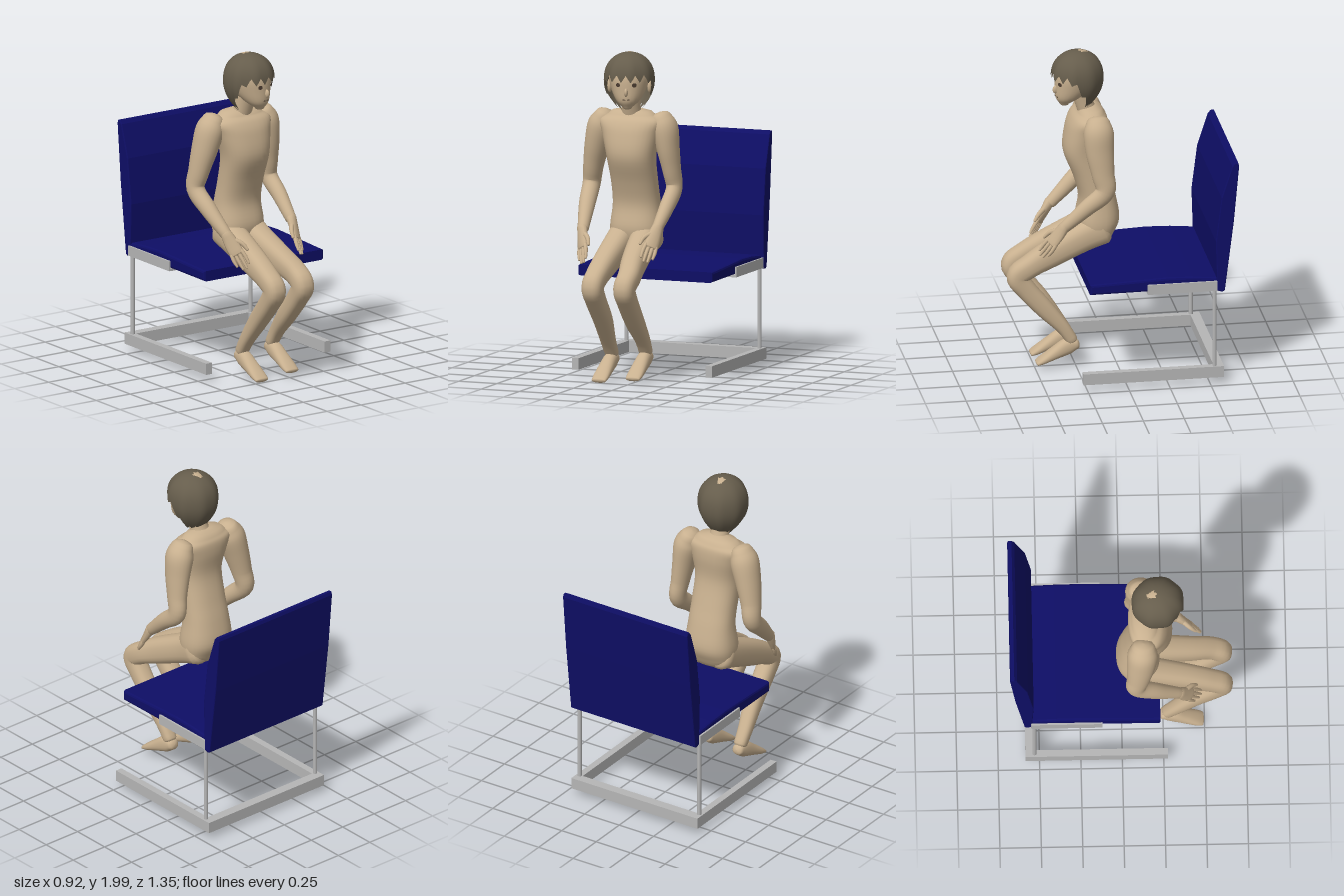
import * as THREE from 'three';
import { mergeVertices } from 'three/addons/utils/BufferGeometryUtils.js';

const mat = (name, color, extra = {}) => {
  const m = new THREE.MeshStandardMaterial({ color, ...extra });
  m.name = name;
  return m;
};
const V = (x, y, z) => new THREE.Vector3(x, y, z);

function add(parent, name, geometry, material, pos = [0, 0, 0]) {
  const mesh = new THREE.Mesh(geometry, material);
  mesh.name = name;
  mesh.position.set(...pos);
  parent.add(mesh);
  return mesh;
}

// Smooth closed skin through elliptical sections [x, y, z, halfWidth, halfDepth].
function loft(sections, { side = V(1, 0, 0), axis = null, power = 1, sides = 24, steps = 5 } = {}) {
  const path = new THREE.CatmullRomCurve3(sections.map(s => V(s[0], s[1], s[2])), false, 'catmullrom', 0.5);
  const size = new THREE.CatmullRomCurve3(sections.map(s => V(s[3], s[4], 0)), false, 'catmullrom', 0.5);
  const n = (sections.length - 1) * steps;
  const pos = [], idx = [];
  const ring = (c, r, t, k) => {
    const u = side.clone().addScaledVector(t, -side.dot(t)).normalize();
    const v = t.clone().cross(u);
    for (let j = 0; j < sides; j++) {
      const a = j / sides * Math.PI * 2, co = Math.cos(a), si = Math.sin(a);
      const p = c.clone()
        .addScaledVector(u, Math.sign(co) * Math.abs(co) ** power * r.x * k)
        .addScaledVector(v, Math.sign(si) * Math.abs(si) ** power * r.y * k);
      pos.push(p.x, p.y, p.z);
    }
  };
  const at = i => [path.getPoint(i / n), size.getPoint(i / n), axis ?? path.getTangent(i / n)];
  // rounded ends extend beyond the first and last sections
  const cap = (i, sign, angles) => {
    const [c, r, t] = at(i);
    for (const a of angles) {
      ring(c.clone().addScaledVector(t, sign * Math.sin(a) * Math.min(r.x, r.y) * 0.5), r, t, Math.max(Math.cos(a), 0.001));
    }
  };
  cap(0, -1, [1.57, 1.15, 0.6]);
  for (let i = 0; i <= n; i++) ring(...at(i), 1);
  cap(n, 1, [0.6, 1.15, 1.57]);
  const rows = pos.length / 3 / sides;
  for (let i = 0; i < rows - 1; i++) for (let j = 0; j < sides; j++) {
    const a = i * sides + j, b = i * sides + (j + 1) % sides;
    idx.push(a, b, a + sides, b, b + sides, a + sides);
  }
  const g = new THREE.BufferGeometry();
  g.setAttribute('position', new THREE.Float32BufferAttribute(pos, 3));
  g.setIndex(idx);
  g.computeVertexNormals();
  return g;
}

// Side profile of [z, y] points extruded across x.
function sideExtrude(points, x0, x1, bevel) {
  const shape = new THREE.Shape(points.map(([z, y]) => new THREE.Vector2(-z, y)));
  const g = new THREE.ExtrudeGeometry(shape, {
    depth: x1 - x0 - 2 * bevel, bevelEnabled: true, bevelSize: bevel, bevelThickness: bevel, bevelOffset: -bevel, bevelSegments: 2
  });
  return g.rotateY(Math.PI / 2).translate(x0 + bevel, 0, 0);
}

function makeChair(navy, metal) {
  const chair = new THREE.Group();
  chair.name = 'chair';
  add(chair, 'seatCushion', sideExtrude([[0.23, 0.62], [0.23, 0.685], [0.1, 0.69], [-0.25, 0.705], [-0.4, 0.7],
    [-0.56, 0.685], [-0.56, 0.625]], -0.44, 0.44, 0.014), navy);
  add(chair, 'backrest', sideExtrude([[-0.545, 0.61], [-0.535, 0.93], [-0.57, 1.21], [-0.635, 1.41], [-0.652, 1.43],
    [-0.672, 1.43], [-0.678, 1.41], [-0.645, 1.05], [-0.59, 0.61], [-0.575, 0.6]], -0.445, 0.458, 0.006), navy);
  add(chair, 'seatPan', new THREE.BoxGeometry(0.9, 0.015, 0.43), metal, [0, 0.615, -0.335]);
  add(chair, 'rearBaseBar', new THREE.BoxGeometry(0.83, 0.07, 0.06), metal, [0, 0.085, -0.555]);
  for (const s of [-1, 1]) {
    add(chair, 'baseRunner', new THREE.BoxGeometry(0.043, 0.07, 0.86), metal, [s * 0.436, 0.085, -0.155]);
    add(chair, 'rearPost', new THREE.CylinderGeometry(0.013, 0.013, 0.52, 12), metal, [s * 0.434, 0.37, -0.53]);
    add(chair, 'seatSideRail', new THREE.BoxGeometry(0.012, 0.062, 0.43), metal, [s * 0.449, 0.64, -0.335]);
  }
  return chair;
}

// Palm, four fingers and a thumb from the wrist along a direction.
function makeHand(name, wrist, dir, thumbSide, skin) {
  const hand = new THREE.Group();
  hand.name = name;
  const d = dir.clone().normalize();
  const w = thumbSide.clone().addScaledVector(d, -thumbSide.dot(d)).normalize();
  const p = (along, across) => wrist.clone().addScaledVector(d, along).addScaledVector(w, across).toArray();
  const part = (n, pts) => add(hand, n, loft(pts, { side: w, sides: 12, steps: 3 }), skin);
  part('palm', [[...p(-0.03, 0), 0.034, 0.032], [...p(0.04, 0), 0.044, 0.024], [...p(0.11, 0), 0.045, 0.017]]);
  [0.095, 0.115, 0.11, 0.08].forEach((len, i) => {
    const o = 0.033 - i * 0.022;
    part('finger', [[...p(0.1, o), 0.012, 0.013], [...p(0.1 + len * 0.5, o * 1.15), 0.011, 0.012], [...p(0.1 + len, o * 1.1), 0.007, 0.008]]);
  });
  part('thumb', [[...p(0.02, 0.02), 0.015, 0.016], [...p(0.07, 0.058), 0.014, 0.014], [...p(0.12, 0.068), 0.008, 0.009]]);
  return hand;
}

// Cap of hair with a jagged fringe, long at the nape.
function hairGeometry() {
  const g = new THREE.PlaneGeometry(1, 1, 96, 18);
  const p = g.attributes.position;
  for (let i = 0; i < p.count; i++) {
    const phi = p.getX(i) * Math.PI * 2, s = 0.5 - p.getY(i);
    const zig = Math.abs(((phi / (Math.PI * 2) * 16 + 16.5) % 1) * 2 - 1);
    const bottom = THREE.MathUtils.lerp(0.045, -0.15, THREE.MathUtils.smoothstep(Math.abs(phi), 0.85, 2.0)) - zig * 0.045;
    const y = bottom + (0.17 - bottom) * Math.cos(s * Math.PI / 2);
    const q = y / 0.17;
    const r = (q > 0 ? Math.sqrt(Math.max(0, 1 - q ** 2.4)) : 1 - 0.48 * q * q) * (1 + 0.02 * s * Math.sin(phi * 8));
    p.setXYZ(i, Math.sin(phi) * 0.152 * r, y, Math.cos(phi) * 0.16 * r);
  }
  g.deleteAttribute('uv');
  g.deleteAttribute('normal');
  const m = mergeVertices(g, 1e-5);
  m.computeVertexNormals();
  return m;
}

function makeHead(skin, hair, dark) {
  const head = new THREE.Group();
  head.name = 'head';
  add(head, 'face', loft([[0, -0.155, 0.085, 0.03, 0.03], [0, -0.115, 0.058, 0.072, 0.08], [0, -0.05, 0.018, 0.106, 0.124],
    [0, 0.03, 0, 0.125, 0.138], [0, 0.1, -0.01, 0.11, 0.12], [0, 0.14, -0.01, 0.06, 0.07]], { axis: V(0, 1, 0) }), skin);
  add(head, 'hair', hairGeometry(), hair);
  const nose = add(head, 'nose', new THREE.SphereGeometry(0.02, 12, 8), skin, [0, -0.06, 0.142]);
  nose.scale.set(0.6, 1.3, 1);
  add(head, 'mouth', new THREE.BoxGeometry(0.042, 0.005, 0.008), dark, [0, -0.105, 0.135]);
  for (const s of [-1, 1]) {
    const ear = add(head, 'ear', new THREE.SphereGeometry(0.035, 12, 10), skin, [s * 0.122, -0.04, -0.02]);
    ear.scale.set(0.45, 1.2, 0.75);
    const eye = add(head, 'eye', new THREE.CircleGeometry(0.015, 16), dark, [s * 0.05, -0.015, 0.136]);
    eye.scale.y = 0.85;
    eye.rotation.y = s * 0.45;
  }
  head.position.set(-0.105, 1.83, 0.22);
  head.rotation.y = 0.25;
  return head;
}

function makeFigure(skin, hair, dark) {
  const figure = new THREE.Group();
  figure.name = 'seatedFigure';
  add(figure, 'torso', loft([[-0.105, 0.82, 0.11, 0.15, 0.1], [-0.105, 0.92, 0.1, 0.162, 0.132], [-0.105, 1.06, 0.1, 0.147, 0.112],
    [-0.105, 1.2, 0.135, 0.143, 0.112], [-0.108, 1.36, 0.18, 0.15, 0.126], [-0.115, 1.5, 0.165, 0.18, 0.125],
    [-0.12, 1.575, 0.15, 0.2, 0.108], [-0.12, 1.61, 0.14, 0.15, 0.08]], { axis: V(0, 1, 0), power: 0.85, sides: 32 }), skin);
  add(figure, 'neck', loft([[-0.118, 1.57, 0.14, 0.075, 0.065], [-0.113, 1.64, 0.17, 0.06, 0.055], [-0.105, 1.76, 0.2, 0.06, 0.06]]), skin);

  // arms bend at the elbow and reach forward to the knees
  const arms = {
    rightArm: [[-0.3, 1.6, 0.13, 0.06, 0.07], [-0.325, 1.53, 0.125, 0.085, 0.092], [-0.358, 1.41, 0.115, 0.076, 0.086],
      [-0.388, 1.28, 0.1, 0.062, 0.07], [-0.405, 1.165, 0.09, 0.054, 0.06], [-0.388, 1.06, 0.2, 0.05, 0.052], [-0.355, 0.925, 0.345, 0.034, 0.036]],
    leftArm: [[0.06, 1.6, 0.12, 0.06, 0.07], [0.085, 1.53, 0.12, 0.08, 0.092], [0.105, 1.41, 0.115, 0.067, 0.086],
      [0.122, 1.28, 0.1, 0.054, 0.07], [0.134, 1.165, 0.09, 0.048, 0.06], [0.135, 1.07, 0.2, 0.045, 0.05], [0.125, 0.95, 0.335, 0.033, 0.036]]
  };
  for (const [name, sections] of Object.entries(arms)) add(figure, name, loft(sections), skin);
  figure.add(makeHand('rightHand', V(-0.353, 0.91, 0.36), V(0.05, -0.19, 0.12), V(0.75, 0.3, 0.5), skin));
  figure.add(makeHand('leftHand', V(0.124, 0.935, 0.35), V(-0.02, -0.18, 0.13), V(-0.75, 0.3, 0.5), skin));

  // legs: hip, knee and ankle positions across, plus a small lift
  for (const [side, hip, knee, ankle, lift] of [['right', -0.182, -0.185, -0.195, 0], ['left', -0.028, 0.022, 0.027, 0.022]]) {
    add(figure, side + 'Leg', loft([[hip, 0.875, 0.08, 0.085, 0.1], [hip, 0.825, 0.2, 0.082, 0.092],
      [(hip + knee) / 2, 0.735, 0.4, 0.073, 0.083], [knee, 0.672, 0.53, 0.067, 0.07], [knee, 0.61, 0.605, 0.064, 0.068],
      [knee, 0.525, 0.555, 0.06, 0.062], [knee, 0.39, 0.44, 0.056, 0.056],
      [ankle, 0.25 + lift, 0.335, 0.045, 0.042], [ankle, 0.16 + lift, 0.275, 0.04, 0.036]], { power: 0.8 }), skin);
    add(figure, side + 'Foot', loft([[ankle, 0.135, 0.245, 0.036, 0.032], [ankle, 0.12, 0.3, 0.042, 0.05], [ankle, 0.08, 0.38, 0.047, 0.037],
      [ankle, 0.043, 0.45, 0.05, 0.024], [ankle, 0.024, 0.488, 0.045, 0.014]], { power: 0.85 }).translate(0, lift, 0), skin);
  }
  figure.add(makeHead(skin, hair, dark));
  return figure;
}

export function createModel() {
  const model = new THREE.Group();
  model.name = 'figureAndChair';
  model.add(makeChair(mat('navy', 0x0e0e66), mat('metal', 0xb6b6b6)));
  model.add(makeFigure(mat('skin', 0xc8b08f), mat('hair', 0x665d4c, { side: THREE.DoubleSide }), mat('dark', 0x4a3b30)));
  return model;
}
